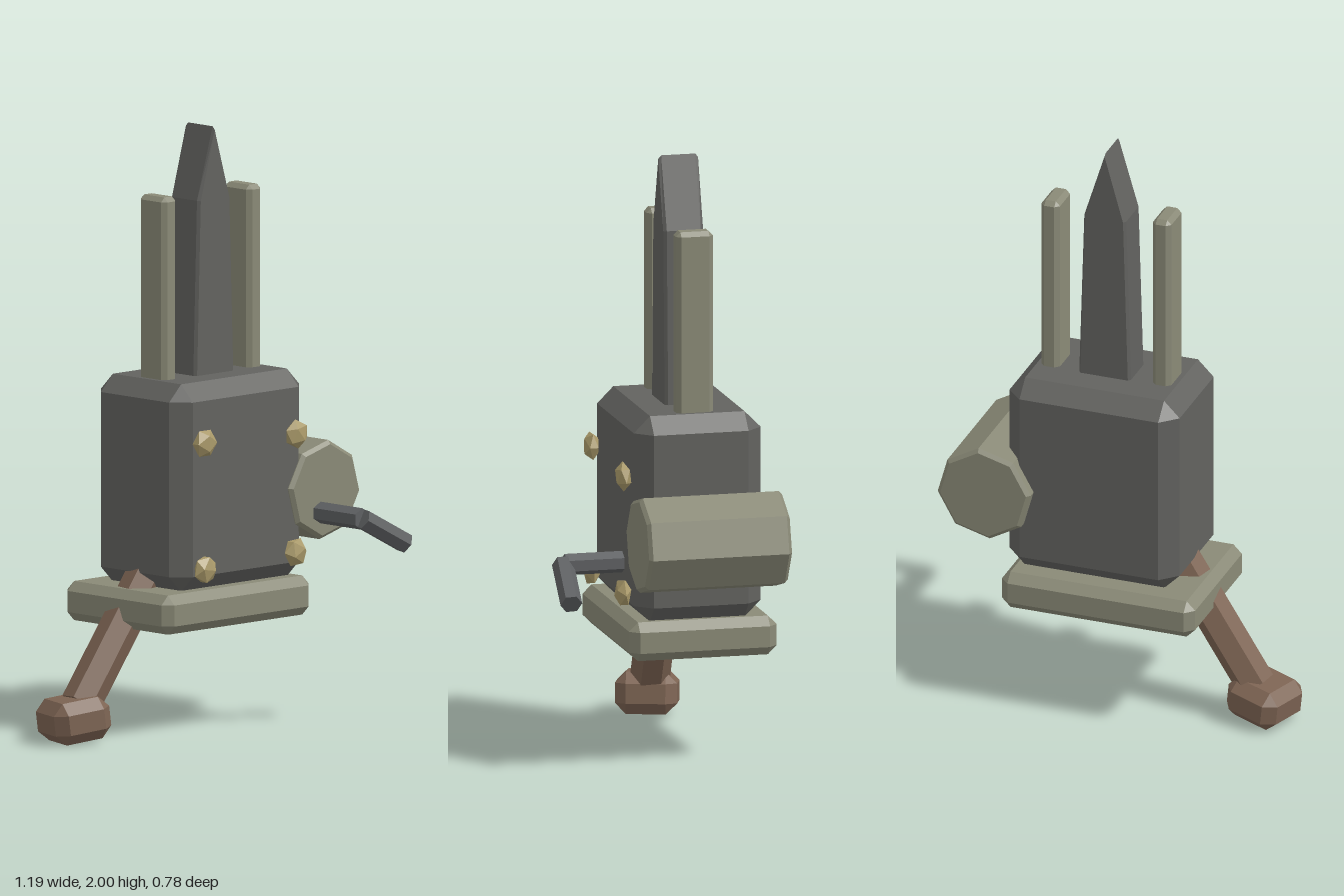
import * as THREE from 'three';
import { ConvexGeometry } from 'three/addons/geometries/ConvexGeometry.js';

const material = (name, color) => {
  const m = new THREE.MeshStandardMaterial({ color });
  m.name = name;
  return m;
};

// Faceted normals for low-poly parts
function faceted(geometry) {
  const g = geometry.index ? geometry.toNonIndexed() : geometry;
  g.computeVertexNormals();
  return g;
}

// Box with all edges chamfered by c
function chamferBox(w, h, d, c) {
  const points = [];
  for (const x of [-w / 2, w / 2]) for (const y of [-h / 2, h / 2]) for (const z of [-d / 2, d / 2]) {
    const ix = x - Math.sign(x) * c, iy = y - Math.sign(y) * c, iz = z - Math.sign(z) * c;
    points.push(new THREE.Vector3(x, iy, iz), new THREE.Vector3(ix, y, iz), new THREE.Vector3(ix, iy, z));
  }
  return new ConvexGeometry(points);
}

export function createModel() {
  const model = new THREE.Group();
  model.name = 'crankMachine';
  const iron = material('dark iron', 0x62625f);
  const sage = material('sage metal', 0x8a8a77);
  const wood = material('brown wood', 0x7d6453);
  const brass = material('brass', 0xaa9a6a);
  const steel = material('crank steel', 0x5e6062);

  function add(name, geometry, mat, x = 0, y = 0, z = 0) {
    const mesh = new THREE.Mesh(geometry, mat);
    mesh.name = name;
    mesh.position.set(x, y, z);
    model.add(mesh);
    return mesh;
  }

  // Hexagonal bar between two points
  function bar(name, a, b, radius, mat) {
    const from = new THREE.Vector3(...a), to = new THREE.Vector3(...b);
    const dir = to.clone().sub(from);
    const mesh = add(name, faceted(new THREE.CylinderGeometry(radius, radius, dir.length(), 6)), mat);
    mesh.position.copy(from).add(to).multiplyScalar(0.5);
    mesh.quaternion.setFromUnitVectors(new THREE.Vector3(0, 1, 0), dir.normalize());
    return mesh;
  }

  // Housing and base plate
  add('housing', chamferBox(0.596, 0.69, 0.43, 0.055), iron, 0.072, 0.835, -0.127);
  add('basePlate', chamferBox(0.677, 0.13, 0.5, 0.03), sage, 0.031, 0.43, -0.14);

  // Pointed blade
  const outline = new THREE.Shape([
    [-0.018, 1.14], [0.166, 1.14], [0.147, 1.76], [0.072, 2.0], [0, 1.76],
  ].map(([x, y]) => new THREE.Vector2(x, y)));
  const blade = new THREE.ExtrudeGeometry(outline, {
    depth: 0.115, bevelEnabled: true, bevelSegments: 1,
    bevelThickness: 0.01, bevelSize: 0.008, bevelOffset: -0.008,
  });
  add('blade', faceted(blade), iron, 0, 0, -0.182);

  // Guide rods beside the blade
  for (const [name, x] of [['rightGuideRod', -0.122], ['leftGuideRod', 0.268]]) {
    add(name, chamferBox(0.065, 0.645, 0.125, 0.015), sage, x, 1.4625, -0.125);
  }

  // Eight-sided drum lying along z
  const profile = [[0, -0.242], [0.151, -0.242], [0.164, -0.23], [0.164, 0.23], [0.151, 0.242], [0, 0.242]];
  const drumGeometry = new THREE.LatheGeometry(profile.map(([x, y]) => new THREE.Vector2(x, y)), 8);
  drumGeometry.rotateX(Math.PI / 2);
  drumGeometry.rotateZ(-0.12);
  add('drum', faceted(drumGeometry), sage, 0.428, 0.772, -0.139);

  // Crank
  bar('crankShaft', [0.365, 0.708, 0.14], [0.365, 0.708, 0.335], 0.036, steel);
  bar('crankHandle', [0.36, 0.71, 0.34], [0.54, 0.612, 0.357], 0.036, steel);

  // Front bolts
  [[-0.142, 0.99], [0.28, 0.975], [-0.14, 0.57], [0.275, 0.583]].forEach(([x, y], i) => {
    const g = new THREE.IcosahedronGeometry(0.05);
    g.rotateZ(i * 0.7);
    g.scale(1, 1, 0.55);
    add('bolt' + (i + 1), faceted(g), brass, x, y, 0.115);
  });

  // Slanted leg and foot
  bar('leg', [-0.17, 0.53, -0.132], [-0.445, 0.125, -0.16], 0.066, wood);
  const foot = add('foot', chamferBox(0.205, 0.14, 0.205, 0.037), wood, -0.476, 0.082, -0.16);
  foot.rotation.set(0, -0.31, 0.12, 'YZX');

  return model;
}
